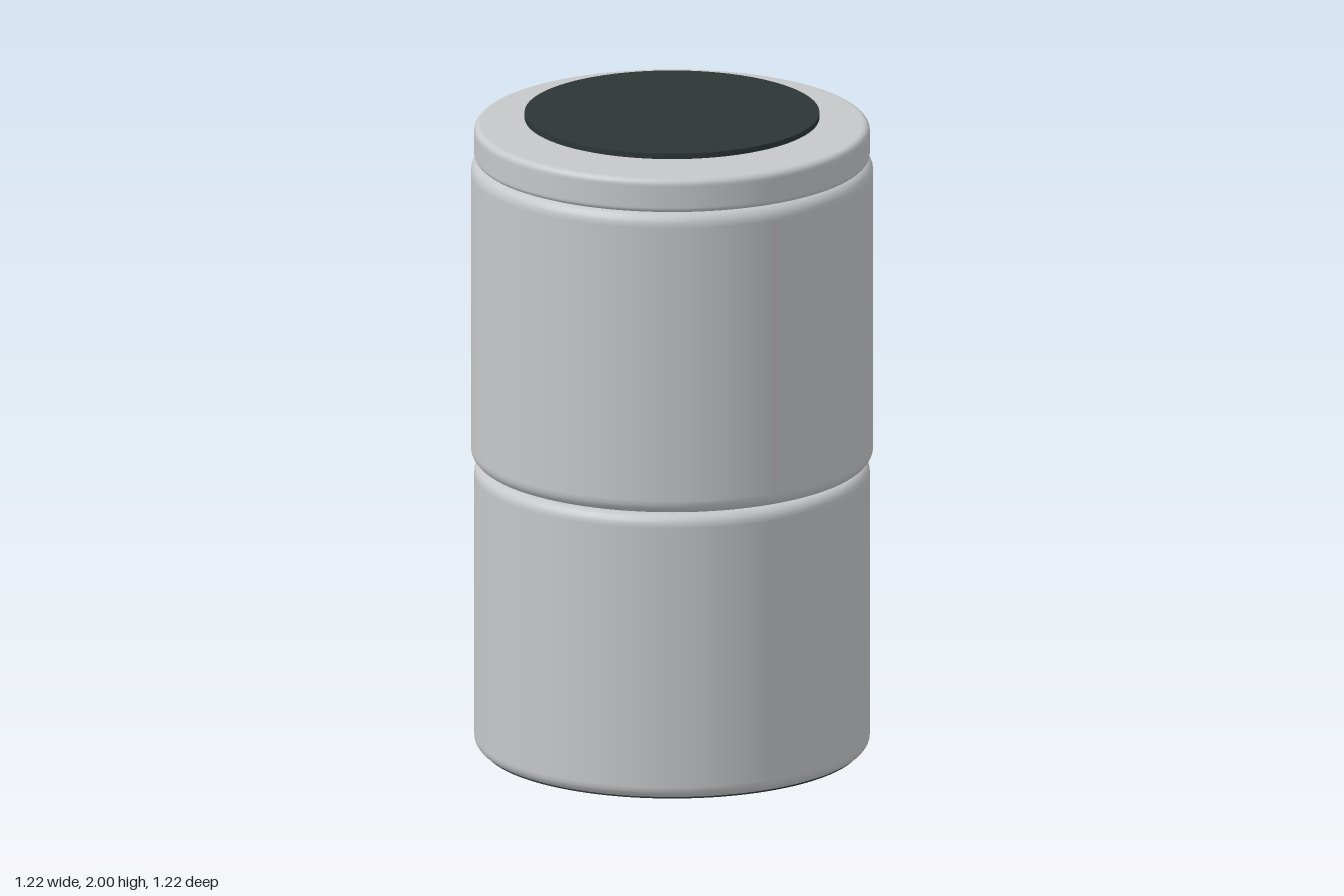
import * as THREE from 'three';

const SEGMENTS = 96;

// Solid of revolution from y0 to y1 with rounded rims of the given radii
function roundedDrum(radius, y0, y1, bottomRim, topRim, material, name) {
  const pts = [new THREE.Vector2(0, y0), new THREE.Vector2(radius - bottomRim - 0.005, y0)];
  const steps = 6;
  const arc = (r, cy, start) => {
    for (let i = 0; i <= steps; i++) {
      const a = start + (i / steps) * Math.PI / 2;
      pts.push(new THREE.Vector2(radius - r + Math.cos(a) * r, cy + Math.sin(a) * r));
    }
  };
  arc(bottomRim, y0 + bottomRim, -Math.PI / 2);
  // Extra points hold the side wall flat in the shading
  pts.push(new THREE.Vector2(radius, y0 + bottomRim + 0.005));
  pts.push(new THREE.Vector2(radius, y1 - topRim - 0.005));
  arc(topRim, y1 - topRim, 0);
  pts.push(new THREE.Vector2(radius - topRim - 0.005, y1), new THREE.Vector2(0, y1));
  const mesh = new THREE.Mesh(new THREE.LatheGeometry(pts, SEGMENTS), material);
  mesh.name = name;
  return mesh;
}

function disc(radius, y0, y1, material, name) {
  const mesh = new THREE.Mesh(new THREE.CylinderGeometry(radius, radius, y1 - y0, SEGMENTS), material);
  mesh.position.y = (y0 + y1) / 2;
  mesh.name = name;
  return mesh;
}

export function createModel() {
  const metal = new THREE.MeshStandardMaterial({ color: 0xc6c7c9 });
  metal.name = 'brushed grey';
  const dark = new THREE.MeshStandardMaterial({ color: 0x2d3635 });
  dark.name = 'dark slate';

  const model = new THREE.Group();
  model.name = 'canister';
  model.add(
    // Stacked body sections and lid
    roundedDrum(0.6, 0.003, 0.9, 0.035, 0.035, metal, 'lowerBody'),
    roundedDrum(0.61, 0.905, 1.857, 0.04, 0.04, metal, 'upperBody'),
    roundedDrum(0.6, 1.857, 1.963, 0.015, 0.02, metal, 'lid'),
    // Dark top plate, held just above the lid, and foot pad
    disc(0.447, 1.983, 2.0, dark, 'topPlate'),
    disc(0.575, 0, 0.008, dark, 'footPad')
  );
  return model;
}
